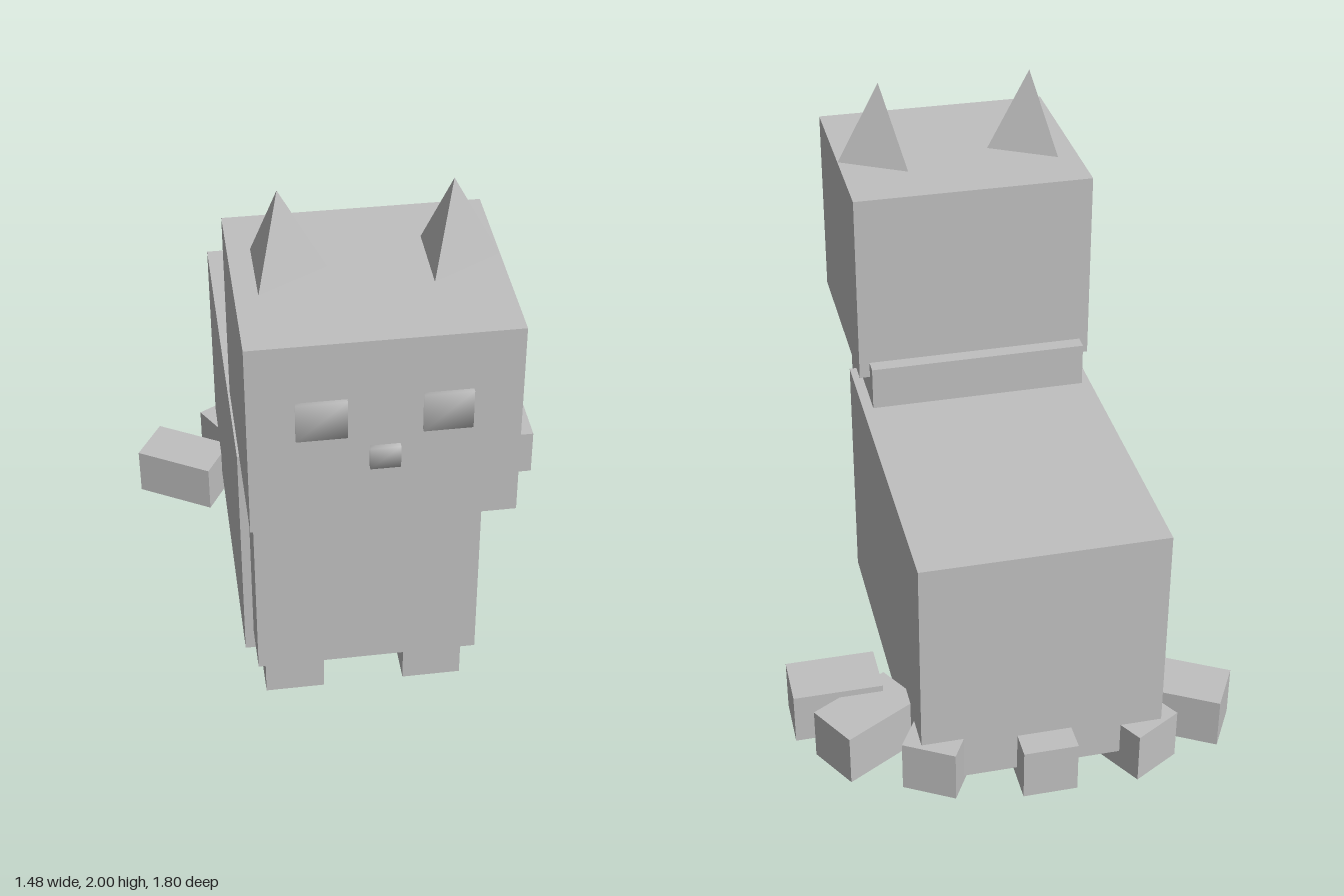
import * as THREE from 'three';
import { mergeVertices } from 'three/addons/utils/BufferGeometryUtils.js';

export function createModel() {
  const group = new THREE.Group();
  const grey = new THREE.MeshStandardMaterial({ color: 0xc0c0c0 });
  grey.name = 'plain grey';

  const add = (name, geometry, x = 0, y = 0, z = 0, turn = 0) => {
    const mesh = new THREE.Mesh(geometry, grey);
    mesh.name = name;
    mesh.position.set(x, y, z);
    mesh.rotation.y = THREE.MathUtils.degToRad(turn);
    group.add(mesh);
    return mesh;
  };

  // Box given by its limits; soft boxes share normals across their edges
  const block = (name, [x0, x1], [y0, y1], [z0, z1], soft = false) => {
    let geometry = new THREE.BoxGeometry(x1 - x0, y1 - y0, z1 - z0);
    if (soft) {
      geometry.deleteAttribute('normal');
      geometry.deleteAttribute('uv');
      geometry = mergeVertices(geometry);
      geometry.computeVertexNormals();
    }
    return add(name, geometry, (x0 + x1) / 2, (y0 + y1) / 2, (z0 + z1) / 2);
  };

  const middle = -0.03; // the animal's own plane of symmetry

  // Trunk and head
  block('body', [-0.43, 0.37], [0.13, 0.975], [-0.81, 0.405]);
  block('chest', [-0.4, 0.335], [0.205, 1.125], [0.13, 0.575]);
  block('head', [-0.43, 0.37], [1.07, 1.73], [0.18, 0.88]);

  // Face
  block('rightEye', [-0.29, -0.14], [1.405, 1.535], [0.8, 0.893], true);
  block('leftEye', [0.08, 0.225], [1.405, 1.535], [0.8, 0.893], true);
  block('nose', [-0.075, 0.015], [1.285, 1.36], [0.82, 0.897], true);

  // Three-sided ears, both with a corner towards +x
  const earGeometry = () => new THREE.ConeGeometry(0.144, 0.27, 3).toNonIndexed();
  for (const [name, x] of [['rightEar', -0.288], ['leftEar', 0.225]]) {
    const geometry = earGeometry();
    geometry.computeVertexNormals();
    add(name, geometry, x, 1.865, 0.49, 90);
  }

  // Collar with a faceted pendant
  block('collar', [-0.38, 0.32], [1.01, 1.09], [0.5, 0.61], true);
  const profile = [[0, 0.92], [0.108, 0.958], [0, 1.066]].map(([r, y]) => new THREE.Vector2(r, y));
  const pendant = new THREE.LatheGeometry(profile, 6).toNonIndexed();
  pendant.computeVertexNormals();
  add('pendant', pendant, middle, 0, 0.622, 90);

  // Front legs
  block('rightFrontLeg', [-0.37, -0.17], [0, 0.22], [0.29, 0.49]);
  block('leftFrontLeg', [0.105, 0.305], [0, 0.22], [0.29, 0.49]);

  // Blocks curling around the rear, each slightly higher: x, z, turn
  const curl = [
    [-0.57, -0.608, -30],
    [-0.339, -0.712, -60],
    [-0.035, -0.753, 90],
    [0.279, -0.712, 60],
    [0.51, -0.608, 30],
    [0.593, -0.46, 0],
  ];
  curl.forEach(([x, z, turn], i) => {
    add('tailBlock' + (i + 1), new THREE.BoxGeometry(0.295, 0.18, 0.18), x, 0.13 + i * 0.0228, z, turn);
  });

  return group;
}
